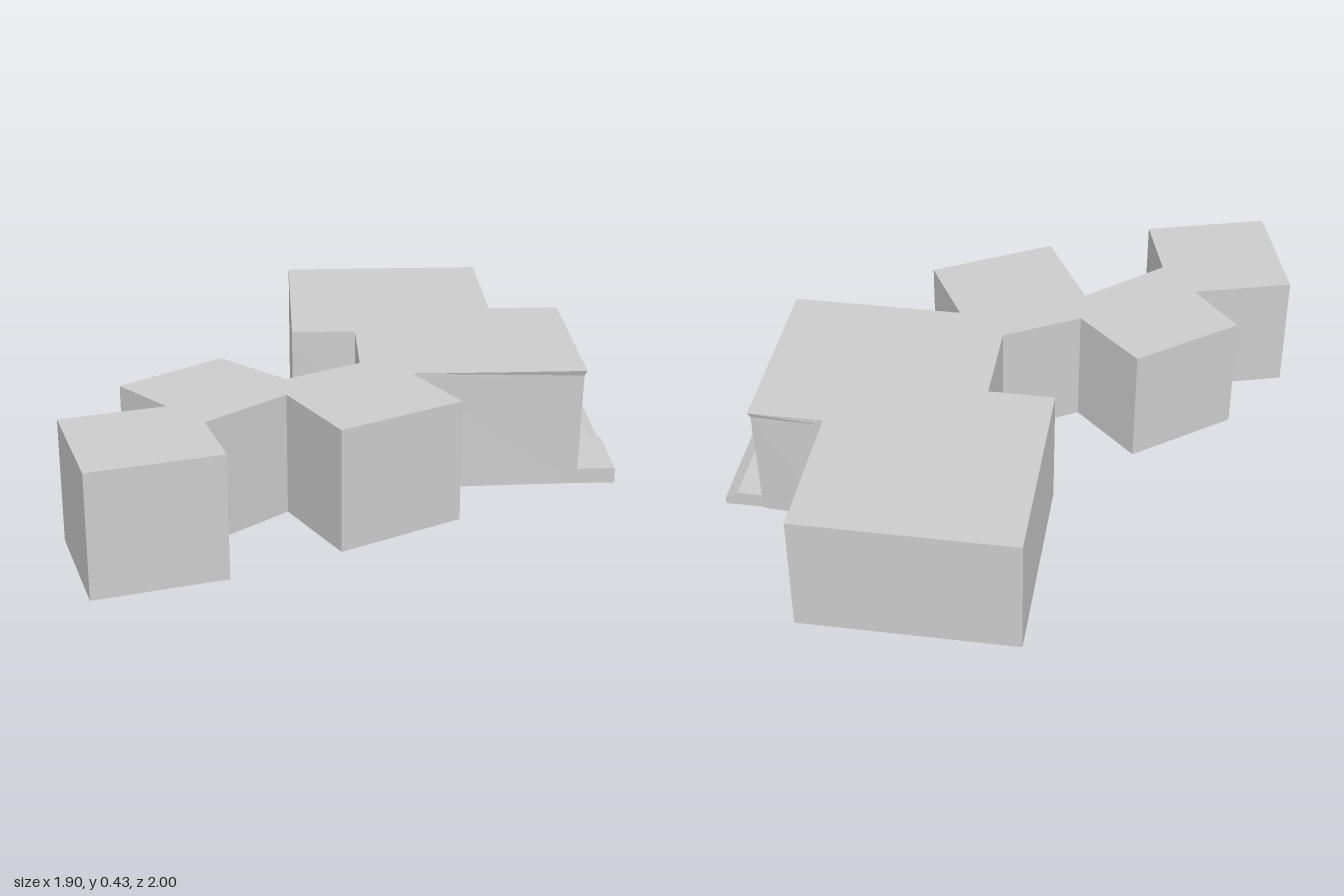
import * as THREE from 'three';

const HEIGHT = 0.43;

// Floor plan as [x, z] corners
const PLAN = [
  // rear hall and entrance hall
  [-0.18, -1], [0.57, -1], [0.57, -0.48], [0.83, -0.48], [0.83, 0.205], [0.225, 0.205],
  // three angled pavilions, outward side
  [0.37, 0.465], [-0.04, 0.695], [-0.21, 0.38], [-0.475, 0.61], [-0.4, 0.87],
  [-0.83, 0.995], [-0.95, 0.565], [-0.605, 0.465], [-0.77, 0.275], [-0.435, 0.02],
  // inner courtyard side
  [-0.21, 0.235], [0.05, 0.09], [0.05, -0.24], [-0.18, -0.24],
];

const toShape = (points) => new THREE.Shape(points.map(([a, b]) => new THREE.Vector2(a, b)));

// Extrudes a plan of [x, z] corners upward
function extrudePlan(points, depth, steps = 1) {
  const geo = new THREE.ExtrudeGeometry(toShape(points.map(([x, z]) => [x, -z])),
    { depth, steps, bevelEnabled: false });
  return geo.rotateX(-Math.PI / 2);
}

// Extrudes a [z, y] section along x, from x0 to x1
function extrudeAlongX(points, x0, x1) {
  const geo = new THREE.ExtrudeGeometry(toShape(points.map(([z, y]) => [-z, y])),
    { depth: x1 - x0, bevelEnabled: false });
  return geo.rotateY(Math.PI / 2).translate(x0, 0, 0);
}

export function createModel() {
  const model = new THREE.Group();
  const material = new THREE.MeshStandardMaterial({ color: 0xcccccc, flatShading: true });
  const add = (name, geometry) => {
    const mesh = new THREE.Mesh(geometry, material);
    mesh.name = name;
    model.add(mesh);
  };

  // Building: the entrance end tapers inward below a thin roof lip
  const building = extrudePlan(PLAN, HEIGHT, 2);
  const pos = building.attributes.position;
  for (let i = 0; i < pos.count; i++) {
    let y = pos.getY(i);
    if (y > 0.1 && y < 0.3) pos.setY(i, y = 0.41);
    if (pos.getX(i) > 0.8 && y < 0.42) {
      const inset = y < 0.1 ? 0.016 : 0.008;
      pos.setX(i, 0.83 - inset);
      pos.setZ(i, pos.getZ(i) - Math.sign(pos.getZ(i) + 0.14) * inset);
    }
  }
  building.computeVertexNormals();
  add('building', building);

  // Entrance terrace, with a low end kerb and a sloped outer edge
  add('terrace', extrudePlan([
    [0.8, -0.46], [0.905, -0.46], [0.905, -0.105], [0.95, -0.105], [0.95, 0.18], [0.8, 0.18],
  ], 0.053));
  add('terraceKerb', new THREE.BoxGeometry(0.15, 0.055, 0.01).translate(0.875, 0.0275, 0.185));
  const ramp = new THREE.ExtrudeGeometry(
    toShape([[0.905, 0], [0.95, 0], [0.95, 0.025], [0.905, 0.053]]),
    { depth: 0.355, bevelEnabled: false });
  add('ramp', ramp.translate(0, 0, -0.46));

  // Entrance portal: two posts and a lintel in one arch section
  add('portal', extrudeAlongX([
    [-0.062, 0.053], [-0.057, 0.18], [-0.265, 0.18], [-0.26, 0.053],
    [-0.235, 0.053], [-0.242, 0.157], [-0.08, 0.157], [-0.087, 0.053],
  ], 0.81, 0.862));

  return model;
}
